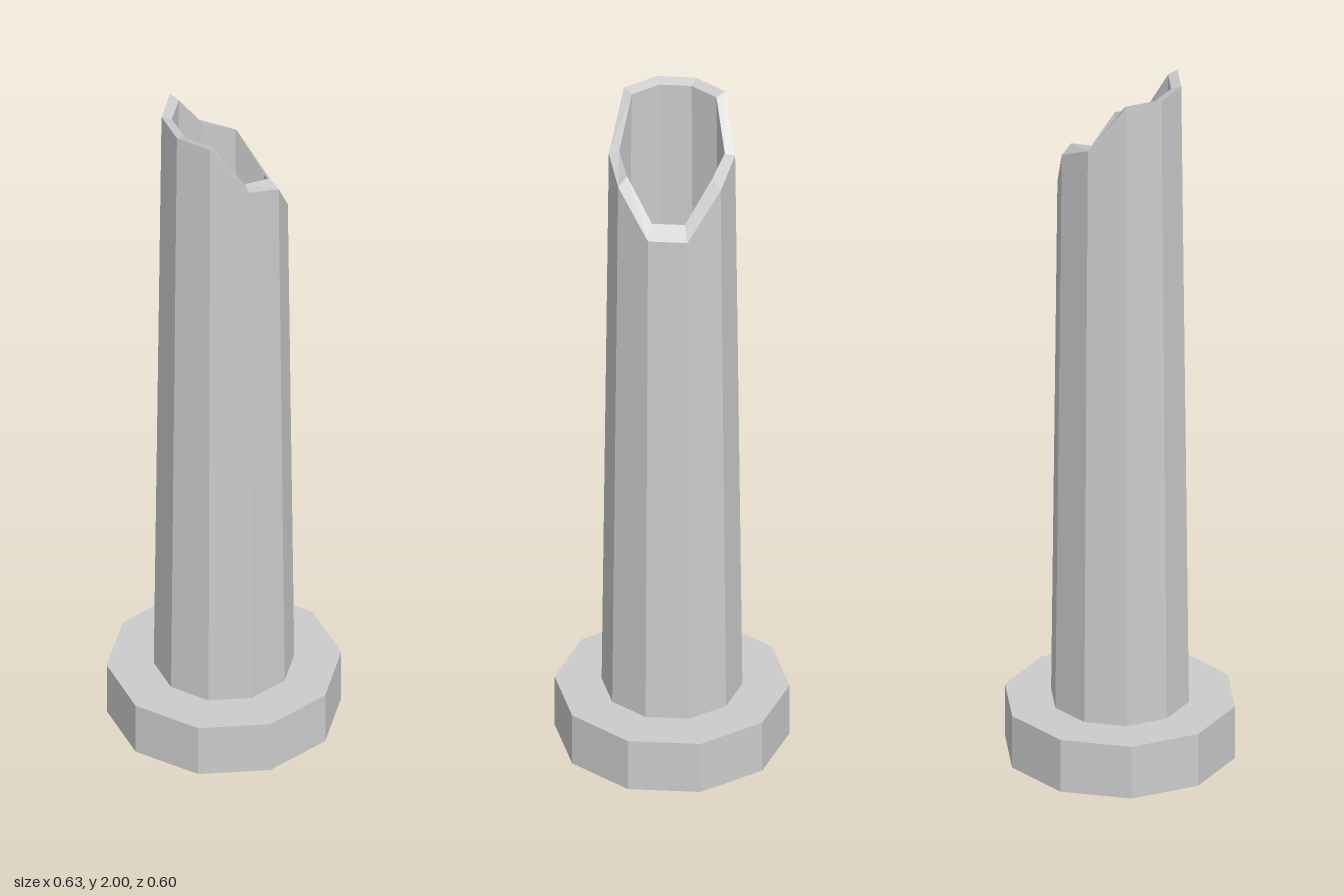
import * as THREE from 'three';

const SIDES = 10;
const BASE_TOP = 0.155;

// Broken rim heights per corner, starting at +x and turning towards +z
const OUTER_RIM = [1.81, 1.85, 2.0, 2.0, 2.0, 2.0, 1.86, 1.81, 1.68, 1.68];
const INNER_RIM = [1.835, 1.86, 1.99, 1.99, 1.99, 1.99, 1.865, 1.84, 1.72, 1.72];

// Ring of corners on a tapering wall: radius goes from r0 at the base to r1 at y = 2
function ring(r0, r1, heightAt) {
  return Array.from({ length: SIDES }, (_, k) => {
    const a = (k / SIDES) * Math.PI * 2;
    const y = heightAt(k);
    const r = THREE.MathUtils.mapLinear(y, BASE_TOP, 2, r0, r1);
    return [r * Math.cos(a), y, r * Math.sin(a)];
  });
}

// Joins consecutive rings with flat-shaded quads
function skin(rings) {
  const pos = [];
  for (let i = 0; i < rings.length - 1; i++) {
    for (let k = 0; k < SIDES; k++) {
      const n = (k + 1) % SIDES;
      const [a, b, c, d] = [rings[i][k], rings[i + 1][k], rings[i + 1][n], rings[i][n]];
      pos.push(...a, ...b, ...c, ...a, ...c, ...d);
    }
  }
  const geo = new THREE.BufferGeometry();
  geo.setAttribute('position', new THREE.Float32BufferAttribute(pos, 3));
  geo.computeVertexNormals();
  return geo;
}

export function createModel() {
  const group = new THREE.Group();
  group.name = 'brokenColumn';
  const material = new THREE.MeshStandardMaterial({ color: 0xcccccc, flatShading: true });

  // Ten-sided plinth with a corner on +x
  const plinth = new THREE.Mesh(
    new THREE.CylinderGeometry(0.317, 0.317, BASE_TOP, SIDES, 1, false, Math.PI / 2),
    material
  );
  plinth.name = 'plinth';
  plinth.position.y = BASE_TOP / 2;
  group.add(plinth);

  // Hollow tapering shaft: outer wall, jagged rim, inner wall
  const shaft = new THREE.Mesh(
    skin([
      ring(0.19, 0.169, () => BASE_TOP),
      ring(0.19, 0.169, (k) => OUTER_RIM[k]),
      ring(0.162, 0.141, (k) => INNER_RIM[k]),
      ring(0.162, 0.141, () => BASE_TOP),
    ]),
    material
  );
  shaft.name = 'shaft';
  group.add(shaft);

  return group;
}
